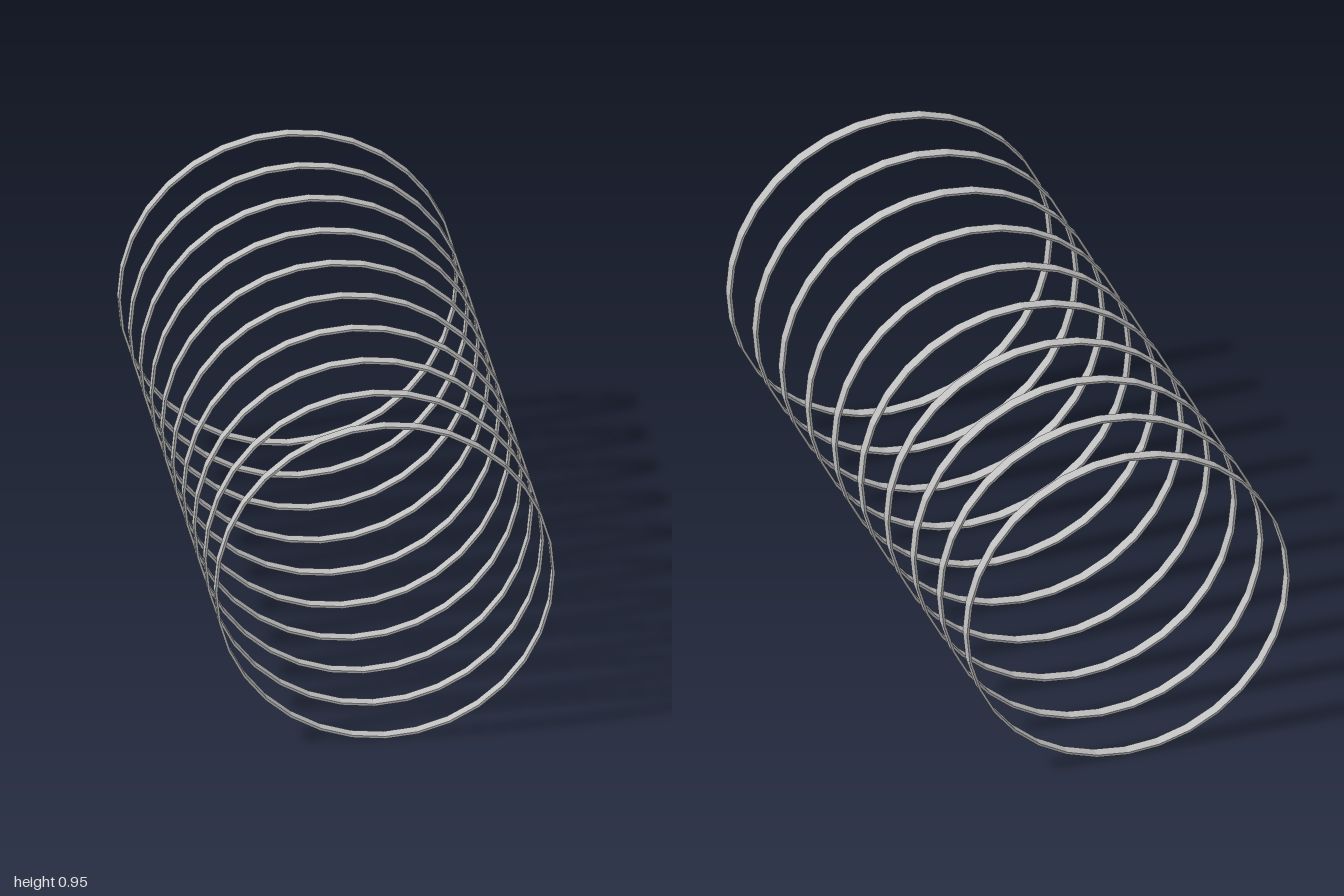
import * as THREE from 'three';

export function createModel() {
  const group = new THREE.Group();
  const metal = new THREE.MeshStandardMaterial({ color: 0xc0c0c0 });
  metal.name = 'grey metal';

  const count = 10, outer = 0.476, inner = 0.469, half = 0.0175;

  // Thin flat band with 32 facets, axis turned along z
  const profile = [
    [outer, -half], [outer, half], [inner, half], [inner, -half], [outer, -half],
  ].map(([r, y]) => new THREE.Vector2(r, y));
  const band = new THREE.LatheGeometry(profile, 32).rotateX(Math.PI / 2).toNonIndexed();
  band.computeVertexNormals();

  // Row of equally spaced rings
  const end = 1 - half;
  for (let i = 0; i < count; i++) {
    const ring = new THREE.Mesh(band, metal);
    ring.name = `ring${i + 1}`;
    ring.position.set(0, outer, end - (2 * end * i) / (count - 1));
    group.add(ring);
  }
  return group;
}
